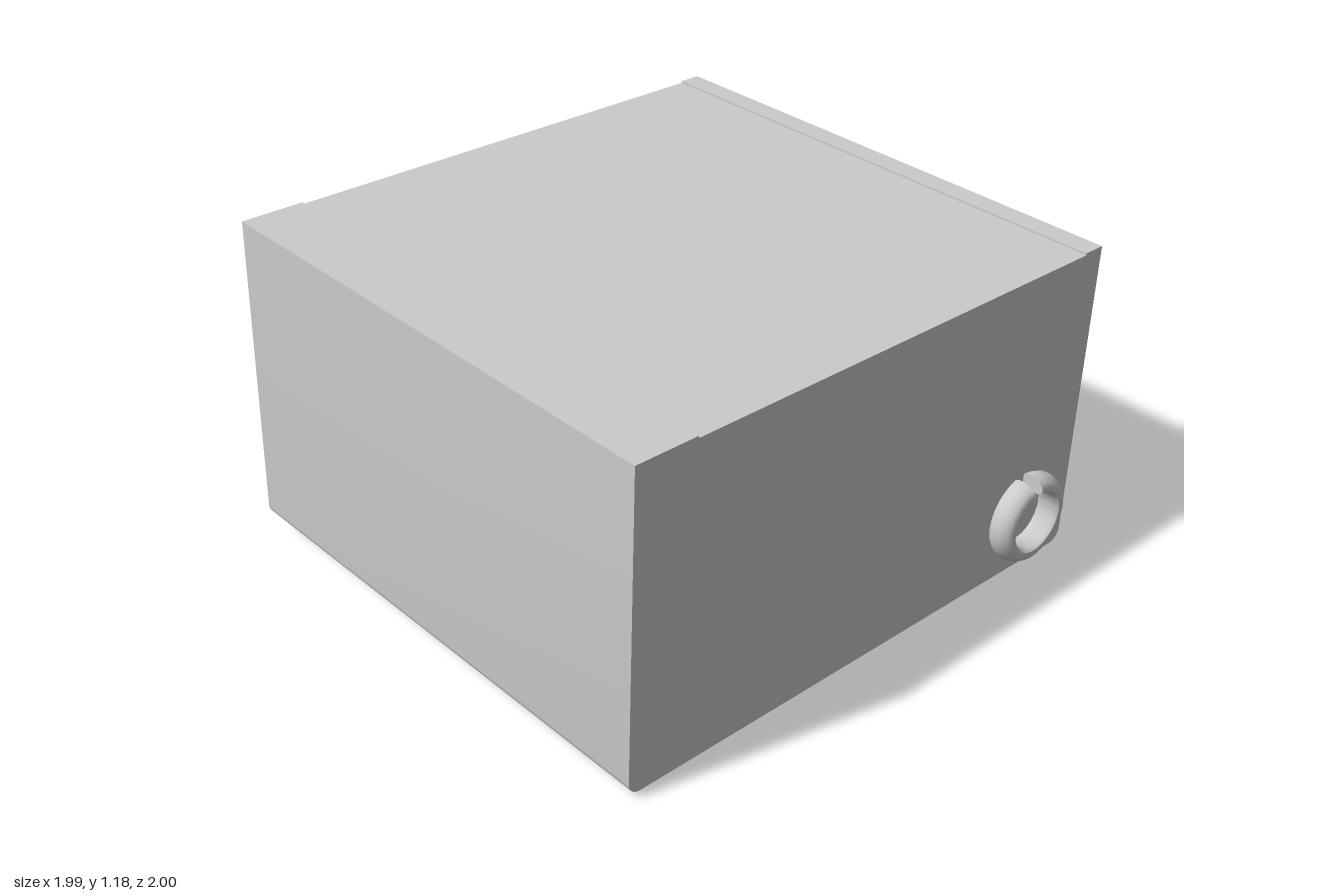
import * as THREE from 'three';
import { toCreasedNormals } from 'three/addons/utils/BufferGeometryUtils.js';

const W = 1.97, H = 1.118, D = 1.86, LIP = 0.007, SHEET = 0.01;
const SOCKET = { x: 0.58, y: -0.21 };
const SWITCH = { x: 0.577, y: 0.308 };

const material = new THREE.MeshStandardMaterial({ color: 0xcccccc, side: THREE.DoubleSide });

function add(parent, name, geometry, x = 0, y = 0, z = 0) {
  const mesh = new THREE.Mesh(geometry, material);
  mesh.name = name;
  mesh.position.set(x, y, z);
  parent.add(mesh);
  return mesh;
}

function extrude(shape, depth, options = {}) {
  const g = new THREE.ExtrudeGeometry(shape, { depth, bevelEnabled: false, curveSegments: 8, ...options });
  return toCreasedNormals(g, 0.6);
}

// Case cross-section: square top corners, rounded bottom ones
function caseOutline(inset = 0) {
  const x = W / 2 - inset, top = H / 2 - LIP - inset, bottom = -H / 2 + inset, r = 0.045 - inset;
  const s = new THREE.Shape();
  s.moveTo(x, top);
  s.lineTo(-x, top);
  s.lineTo(-x, bottom + r);
  s.absarc(-x + r, bottom + r, r, Math.PI, 1.5 * Math.PI);
  s.lineTo(x - r, bottom);
  s.absarc(x - r, bottom + r, r, 1.5 * Math.PI, 2 * Math.PI);
  s.closePath();
  return s;
}

function roundedRect(w, h, r) {
  const x = w / 2 - r, y = h / 2 - r;
  const s = new THREE.Shape();
  s.absarc(x, y, r, 0, Math.PI / 2);
  s.absarc(-x, y, r, Math.PI / 2, Math.PI);
  s.absarc(-x, -y, r, Math.PI, 1.5 * Math.PI);
  s.absarc(x, -y, r, 1.5 * Math.PI, 2 * Math.PI);
  s.closePath();
  return s;
}

// Inlet opening with two cut upper corners
function opening(grow = 0, cx = 0, cy = 0) {
  const x = 0.165 + grow, y = 0.11 + grow, c = 0.07;
  return new THREE.Shape([
    [-x, -y], [x, -y], [x, y - c], [x - c, y], [-x + c, y], [-x, y - c],
  ].map(([px, py]) => new THREE.Vector2(px + cx, py + cy)));
}

function buildCase(root) {
  const walls = caseOutline();
  walls.holes.push(caseOutline(SHEET));
  add(root, 'caseWalls', extrude(walls, D - 2 * SHEET), 0, 0, -D / 2 + SHEET);
  add(root, 'frontPanel', extrude(caseOutline(), SHEET), 0, 0, D / 2 - SHEET);
  const back = caseOutline();
  back.holes.push(opening(0, SOCKET.x, SOCKET.y));
  add(root, 'backPanel', extrude(back, SHEET), 0, 0, -D / 2);

  // Folded lips along both top edges
  for (const [name, a, b] of [['rightTopLip', -W / 2, -0.76], ['leftTopLip', 0.905, W / 2]]) {
    add(root, name, new THREE.BoxGeometry(b - a, LIP, D), (a + b) / 2, (H - LIP) / 2, 0);
  }
}

// Split ring around the cable exit
function buildCableRing(root) {
  const ring = new THREE.Group();
  ring.name = 'cableRing';
  ring.position.set(0.734, -0.341, D / 2);
  ring.rotation.x = Math.PI / 2;
  root.add(ring);
  const profile = [
    [0.15, 0], [0.16, 0.018], [0.161, 0.035], [0.155, 0.055], [0.143, 0.072],
    [0.127, 0.081], [0.112, 0.079], [0.103, 0.068], [0.103, 0],
  ].map(([x, y]) => new THREE.Vector2(x, y));
  const gap = 0.28, start = Math.PI + gap, sweep = 2 * Math.PI - gap;
  add(ring, 'ringBody', toCreasedNormals(new THREE.LatheGeometry(profile, 48, start, sweep), 0.7));
  for (const angle of [start, start + sweep]) {
    add(ring, 'ringEnd', new THREE.ShapeGeometry(new THREE.Shape(profile))).rotation.y = angle - Math.PI / 2;
  }
}

// Group on the back panel whose +z points out of the back
function backGroup(root, name, at) {
  const g = new THREE.Group();
  g.name = name;
  g.position.set(at.x, at.y, -D / 2);
  g.rotation.y = Math.PI;
  root.add(g);
  return g;
}

function buildInlet(root) {
  const inlet = backGroup(root, 'powerInlet', SOCKET);

  // Flange with two tapering, rounded ears
  const flange = new THREE.Shape();
  flange.moveTo(-0.19, -0.145);
  flange.lineTo(0.19, -0.145);
  flange.lineTo(0.305, -0.055);
  flange.quadraticCurveTo(0.345, 0, 0.305, 0.055);
  flange.lineTo(0.19, 0.145);
  flange.lineTo(-0.19, 0.145);
  flange.lineTo(-0.305, 0.055);
  flange.quadraticCurveTo(-0.345, 0, -0.305, -0.055);
  flange.closePath();
  flange.holes.push(opening());
  add(inlet, 'inletFlange', extrude(flange, 0.022));

  const collar = roundedRect(0.4, 0.295, 0.035);
  collar.holes.push(opening());
  add(inlet, 'inletCollar', extrude(collar, 0.058));

  // Recess sunk into the case
  const recess = opening(0.008);
  recess.holes.push(opening());
  add(inlet, 'inletRecess', extrude(recess, 0.15), 0, 0, -0.15);
  add(inlet, 'inletFloor', extrude(opening(0.008), 0.01), 0, 0, -0.16);
}

function buildSwitch(root) {
  const group = backGroup(root, 'powerSwitch', SWITCH);
  const frame = roundedRect(0.27, 0.2, 0.012);
  frame.holes.push(roundedRect(0.19, 0.13, 0.004));
  add(group, 'switchFrame', extrude(frame, 0.027));

  // Rocker: bent profile pulled through its height, narrowing towards the peak
  const profile = new THREE.Shape([
    [-0.092, 0], [0.092, 0], [0.088, 0.03], [0.045, 0.074], [-0.04, 0.03], [-0.092, 0.024],
  ].map(([x, y]) => new THREE.Vector2(x, y)));
  const rocker = new THREE.ExtrudeGeometry(profile, { depth: 0.126, bevelEnabled: false });
  rocker.translate(0, 0, -0.063).rotateX(Math.PI / 2);
  const p = rocker.attributes.position;
  for (let i = 0; i < p.count; i++) {
    if (p.getY(i) < 0) p.setY(i, p.getY(i) + p.getZ(i) * 0.25);
  }
  rocker.computeVertexNormals();
  add(group, 'switchRocker', rocker);
}

export function createModel() {
  const model = new THREE.Group();
  model.name = 'powerSupply';

  // The whole unit sits very slightly tilted
  const root = new THREE.Group();
  root.name = 'powerSupplyUnit';
  root.position.y = 0.592;
  root.rotation.set(0.027, 0.005, -0.009);
  model.add(root);

  buildCase(root);
  buildCableRing(root);
  buildInlet(root);
  buildSwitch(root);
  return model;
}
